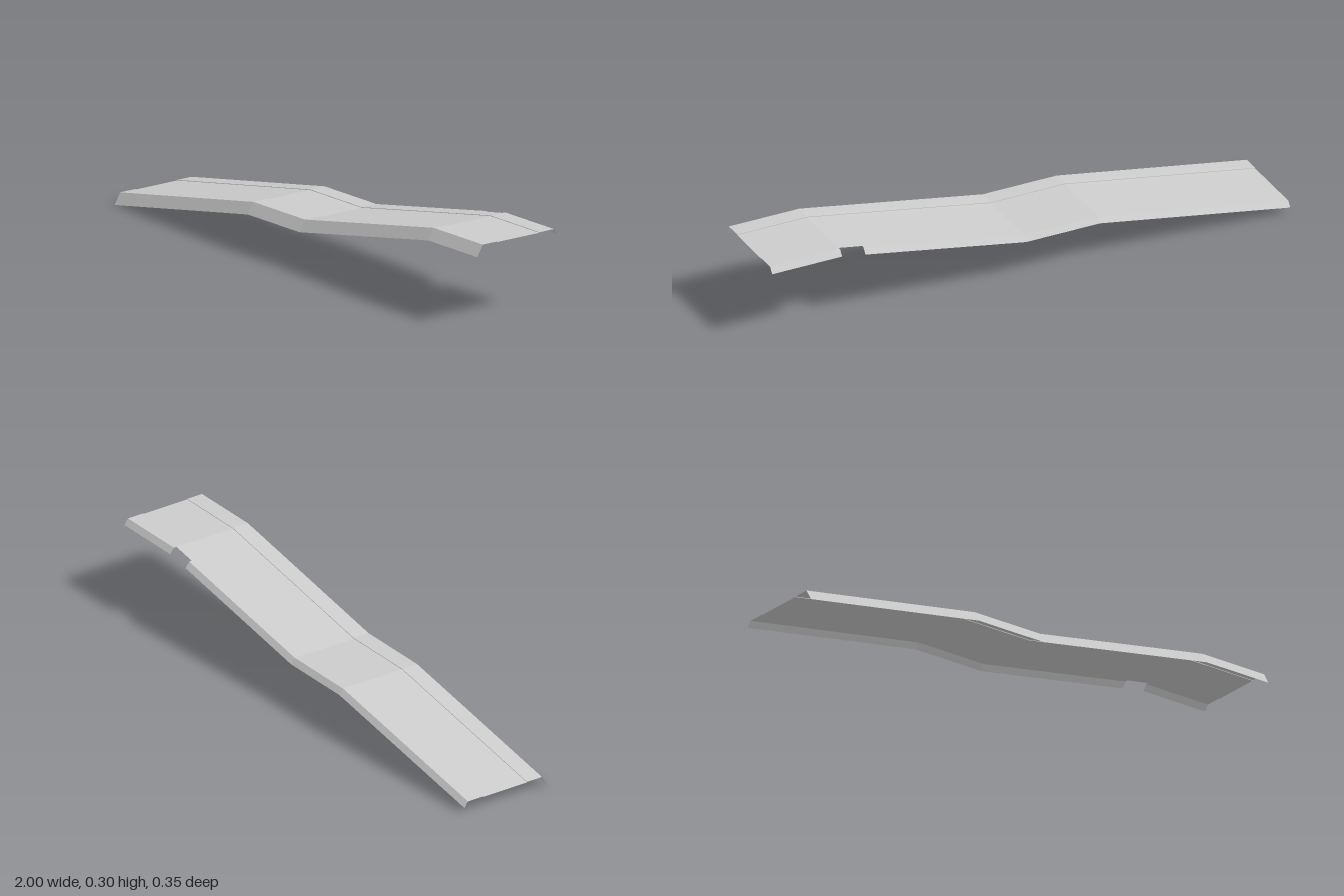
import * as THREE from 'three';

// Ramp centreline: [x, height of the crest]
const PATH = [[-1, 0.041], [-0.265, 0.17], [0.02, 0.17], [0.64, 0.282], [0.73, 0.298], [1, 0.298]];
const NOTCH = 3; // index of the segment cut out of the rear edge

// Cross-section strips from front to back: name, z and drop of both edges, notched or not
const STRIPS = [
  ['frontFlange', 0.177, 0.041, 0.153, 0, false],
  ['frontBorder', 0.153, 0, 0.09, 0, false],
  ['frontStep', 0.09, 0, 0.09, 0.002, false],
  ['deck', 0.09, 0.002, -0.097, 0.002, false],
  ['rearStep', -0.097, 0.002, -0.097, 0, false],
  ['rearBorder', -0.097, 0, -0.15, 0, false],
  ['rearLip', -0.15, 0, -0.161, 0, true],
  ['rearFlange', -0.161, 0, -0.176, 0.021, true],
];

// Sweep one strip of the cross-section along the path
function sweepStrip(z0, drop0, z1, drop1, notched) {
  const positions = [];
  for (let i = 0; i < PATH.length - 1; i++) {
    if (notched && i === NOTCH) continue;
    const [xa, ya] = PATH[i];
    const [xb, yb] = PATH[i + 1];
    const a = [xa, ya - drop0, z0];
    const b = [xb, yb - drop0, z0];
    const c = [xb, yb - drop1, z1];
    const d = [xa, ya - drop1, z1];
    positions.push(...a, ...b, ...c, ...a, ...c, ...d);
  }
  const geometry = new THREE.BufferGeometry();
  geometry.setAttribute('position', new THREE.Float32BufferAttribute(positions, 3));
  geometry.computeVertexNormals();
  return geometry;
}

export function createModel() {
  const metal = new THREE.MeshStandardMaterial({ color: 0xcccccc, side: THREE.DoubleSide });
  metal.name = 'pale grey metal';
  const group = new THREE.Group();
  group.name = 'steppedRamp';
  for (const [name, ...section] of STRIPS) {
    const mesh = new THREE.Mesh(sweepStrip(...section), metal);
    mesh.name = name;
    group.add(mesh);
  }
  return group;
}
